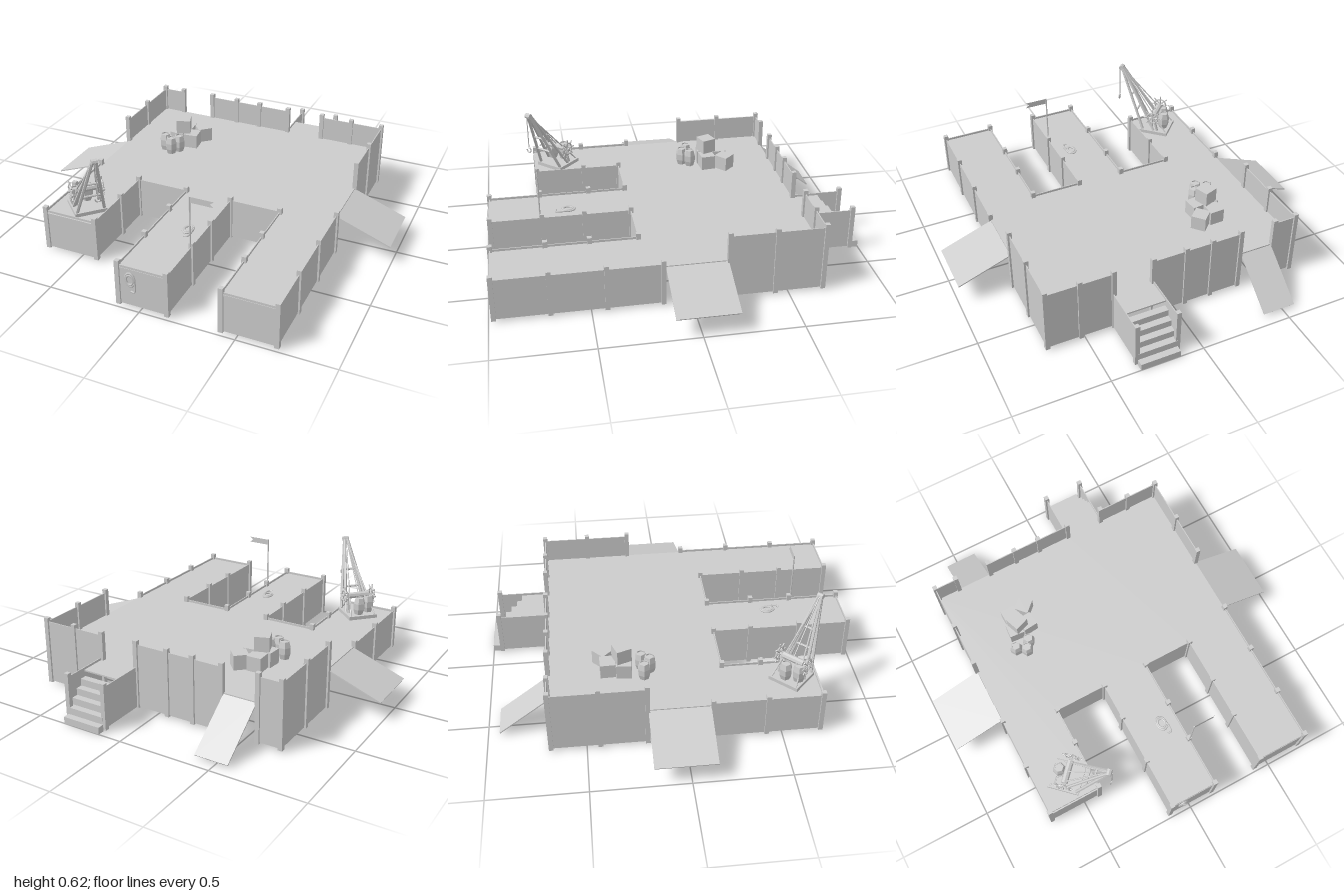
import * as THREE from 'three';

const mat = new THREE.MeshStandardMaterial({ color: 0xcccccc, flatShading: true, side: THREE.DoubleSide });
const smooth = new THREE.MeshStandardMaterial({ color: 0xcccccc, side: THREE.DoubleSide });
const V = (x, y, z) => new THREE.Vector3(x, y, z);
const DECK = 0.22;

function add(parent, name, geo, x = 0, y = 0, z = 0, ry = 0, m = mat) {
  const mesh = new THREE.Mesh(geo, m);
  mesh.name = name;
  mesh.position.set(x, y, z);
  mesh.rotation.y = ry;
  parent.add(mesh);
  return mesh;
}
const box = (w, h, d) => new THREE.BoxGeometry(w, h, d);

// Round beam between two points
function beam(parent, name, a, b, r, sides = 6) {
  const dir = b.clone().sub(a);
  const mesh = add(parent, name, new THREE.CylinderGeometry(r, r, dir.length(), sides));
  mesh.position.copy(a).addScaledVector(dir, 0.5);
  mesh.quaternion.setFromUnitVectors(V(0, 1, 0), dir.normalize());
  return mesh;
}

// Thin upright panel between two plan points
function wall(parent, x1, z1, x2, z2, top) {
  const len = Math.hypot(x2 - x1, z2 - z1);
  add(parent, 'wallPanel', box(len, top - 0.01, 0.005),
    (x1 + x2) / 2, (top + 0.01) / 2, (z1 + z2) / 2, -Math.atan2(z2 - z1, x2 - x1));
}

function post(parent, x, z, top) {
  add(parent, 'post', box(0.024, top - 0.004, 0.024), x, (top + 0.004) / 2, z);
}

// Panels following a run of plan points, with a post at every point
function fence(parent, name, pts, top) {
  const g = new THREE.Group();
  g.name = name;
  pts.forEach(([x, z], i) => {
    post(g, x, z, top + 0.022);
    if (i) wall(g, pts[i - 1][0], pts[i - 1][1], x, z, top);
  });
  parent.add(g);
}

// Sloping board; starts at the deck edge and falls along local +z
function ramp(parent, name, x, z, ry, width, run, endY) {
  const g = new THREE.Group();
  g.name = name;
  g.position.set(x, 0, z);
  g.rotation.y = ry;
  const drop = DECK - 0.007 - endY;
  const board = add(g, 'rampBoard', box(width, 0.006, Math.hypot(run, drop)), 0, (DECK - 0.007 + endY) / 2, run / 2);
  board.rotation.x = Math.atan2(drop, run);
  parent.add(g);
}

function barrel(parent, x, y, z) {
  const prof = [[0, 0], [0.025, 0], [0.034, 0.03], [0.034, 0.065], [0.025, 0.097], [0.021, 0.097], [0.021, 0.09], [0, 0.09]];
  add(parent, 'barrel', new THREE.LatheGeometry(prof.map(p => new THREE.Vector2(...p)), 6), x, y, z, Math.PI / 6);
}

// Coiled rope lying in the xy plane with a loose tail
function ropeCoil(parent, name) {
  const g = new THREE.Group();
  g.name = name;
  for (let i = 0; i < 2; i++) {
    const loop = add(g, 'ropeLoop', new THREE.TorusGeometry(0.026 - i * 0.007, 0.005, 6, 20), 0, 0.018, 0.004 + i * 0.003, 0, smooth);
    loop.scale.y = 1.4;
  }
  const tail = new THREE.CatmullRomCurve3([V(0.024, 0.02, 0.006), V(0.028, -0.02, 0.006), V(0.022, -0.048, 0.006), V(0.004, -0.046, 0.006)]);
  add(g, 'ropeTail', new THREE.TubeGeometry(tail, 14, 0.005, 6), 0, 0, 0, 0, smooth);
  parent.add(g);
  return g;
}

function crane() {
  const g = new THREE.Group();
  g.name = 'crane';
  add(g, 'craneBase', box(0.17, 0.02, 0.17), 0, DECK + 0.01, 0);
  const tip = V(0, 0.605, 0.225), y0 = DECK + 0.02;
  for (const s of [-1, 1]) {
    beam(g, 'frontLeg', V(s * 0.072, y0, 0.07), V(s * 0.008, 0.605, 0.225), 0.009);
    beam(g, 'mainBoom', V(s * 0.072, y0, 0), V(s * 0.008, 0.605, 0.22), 0.008);
    beam(g, 'backStay', V(s * 0.072, y0, -0.075), tip, 0.004);
    beam(g, 'winchUpright', V(s * 0.065, y0, -0.02), V(s * 0.065, 0.35, 0.01), 0.008);
    // Hand wheel with spokes that stick out past the rim
    const wheel = new THREE.Group();
    wheel.name = 'handWheel';
    wheel.position.set(s * 0.083, 0.335, 0.005);
    wheel.rotation.y = Math.PI / 2;
    add(wheel, 'wheelRim', new THREE.TorusGeometry(0.034, 0.005, 6, 12));
    for (let i = 0; i < 4; i++) {
      const a = i * Math.PI / 4, c = Math.cos(a) * 0.055, d = Math.sin(a) * 0.055;
      beam(wheel, 'wheelSpoke', V(-c, -d, 0), V(c, d, 0), 0.004, 5);
    }
    g.add(wheel);
  }
  for (const t of [0.3, 0.55]) {
    const w = 0.072 - 0.064 * t, y = y0 + (0.605 - y0) * t, z = 0.07 + 0.155 * t;
    beam(g, 'crossBar', V(-w, y, z), V(w, y, z), 0.006);
  }
  beam(g, 'winchDrum', V(-0.06, 0.335, 0.005), V(0.06, 0.335, 0.005), 0.018, 8);
  beam(g, 'winchAxle', V(-0.095, 0.335, 0.005), V(0.095, 0.335, 0.005), 0.006);
  beam(g, 'pulley', V(-0.016, 0.603, 0.228), V(0.016, 0.603, 0.228), 0.015, 8);
  // Hoisting rope and hook
  beam(g, 'winchRope', V(0, 0.35, 0.01), V(0, 0.61, 0.22), 0.003, 5);
  beam(g, 'hoistRope', V(0, 0.6, 0.242), V(0, 0.42, 0.242), 0.003, 5);
  add(g, 'hook', new THREE.TorusGeometry(0.014, 0.004, 6, 12, Math.PI * 1.5), 0, 0.4, 0.242).rotation.z = Math.PI;
  barrel(g, -0.052, y0, -0.02);
  barrel(g, 0.012, y0, -0.045);
  g.position.set(-0.53, 0, 0.57);
  g.rotation.y = 0.81;
  return g;
}

export function createModel() {
  const root = new THREE.Group();
  root.name = 'harbourDock';

  // Deck with three piers and a stair landing
  const outline = [[-0.7, -0.68], [0.125, -0.68], [0.125, -0.825], [0.345, -0.825], [0.345, -0.68], [0.7, -0.68],
    [0.7, 0.98], [0.42, 0.98], [0.42, 0.225], [0.14, 0.225], [0.14, 0.98], [-0.12, 0.98],
    [-0.12, 0.225], [-0.41, 0.225], [-0.41, 0.71], [-0.7, 0.71]];
  const deckShape = new THREE.Shape(outline.map(([x, z]) => new THREE.Vector2(x, z)));
  add(root, 'deck', new THREE.ExtrudeGeometry(deckShape, { depth: 0.008, bevelEnabled: false }), 0, DECK).rotation.x = Math.PI / 2;

  // Low walls round the piers and slips
  const low = 0.232, high = 0.355;
  fence(root, 'pierWalls', [[-0.7, 0.14], [-0.7, 0.42], [-0.7, 0.7], [-0.41, 0.7], [-0.41, 0.43], [-0.41, 0.225],
    [-0.12, 0.225], [-0.12, 0.43], [-0.12, 0.7], [-0.12, 0.975], [0.14, 0.975], [0.14, 0.7], [0.14, 0.475], [0.14, 0.225],
    [0.42, 0.225], [0.42, 0.475], [0.42, 0.7], [0.42, 0.975], [0.7, 0.975], [0.7, 0.7], [0.7, 0.42], [0.7, 0.14]], low);

  // High walls round the back
  fence(root, 'backRightWall', [[-0.7, -0.19], [-0.7, -0.43], [-0.7, -0.68], [-0.575, -0.68]], high);
  fence(root, 'backMiddleWall', [[-0.375, -0.68], [-0.21, -0.68], [-0.06, -0.68], [0.125, -0.68]], high);
  fence(root, 'backLeftWall', [[0.34, -0.68], [0.52, -0.68], [0.7, -0.68], [0.7, -0.43], [0.7, -0.19]], high);

  // Stairs between two low walls
  for (const x of [0.125, 0.345]) {
    wall(root, x, -0.68, x, -0.955, low);
    post(root, x, -0.95, low + 0.022);
  }
  for (let i = 0; i < 5; i++) add(root, 'stairStep', box(0.215, 0.037, 0.037), 0.235, 0.165 - i * 0.0372, -0.838 - i * 0.0358);

  // Boarding ramps
  ramp(root, 'leftRamp', 0.7, -0.028, Math.PI / 2, 0.315, 0.29, 0.105);
  ramp(root, 'rightRamp', -0.7, -0.028, -Math.PI / 2, 0.315, 0.29, 0.105);
  ramp(root, 'backRamp', -0.476, -0.68, Math.PI, 0.18, 0.26, 0.012);

  // Cargo on the deck: crates [x, y, z, turn] and barrels
  const crates = [[-0.395, 0, -0.37, 0.03], [-0.305, 0, -0.39, 0.75], [-0.33, 0, -0.29, 0.1], [-0.41, 0, -0.285, -0.08], [-0.385, 0.08, -0.295, 0.35]];
  for (const [x, y, z, r] of crates) add(root, 'crate', box(0.08, 0.08, 0.08), x, DECK + 0.04 + y, z, r);
  for (const [x, z] of [[-0.452, -0.185], [-0.37, -0.195], [-0.4, -0.152]]) barrel(root, x, DECK, z);

  // Rope coils on the pier deck and its end wall
  const flat = ropeCoil(root, 'deckRopeCoil');
  flat.position.set(0.053, DECK, 0.575);
  flat.rotation.x = -Math.PI / 2;
  ropeCoil(root, 'wallRopeCoil').position.set(-0.05, 0.145, 0.98);

  // Swallow-tailed flag on a pier post
  beam(root, 'flagPole', V(0.138, 0.22, 0.71), V(0.138, 0.52, 0.71), 0.004);
  const flag = new THREE.Shape([[0, 0], [0.125, 0], [0.105, 0.016], [0.125, 0.032], [0, 0.032]].map(p => new THREE.Vector2(...p)));
  add(root, 'flag', new THREE.ShapeGeometry(flag), 0.14, 0.486, 0.71);

  root.add(crane());
  return root;
}
